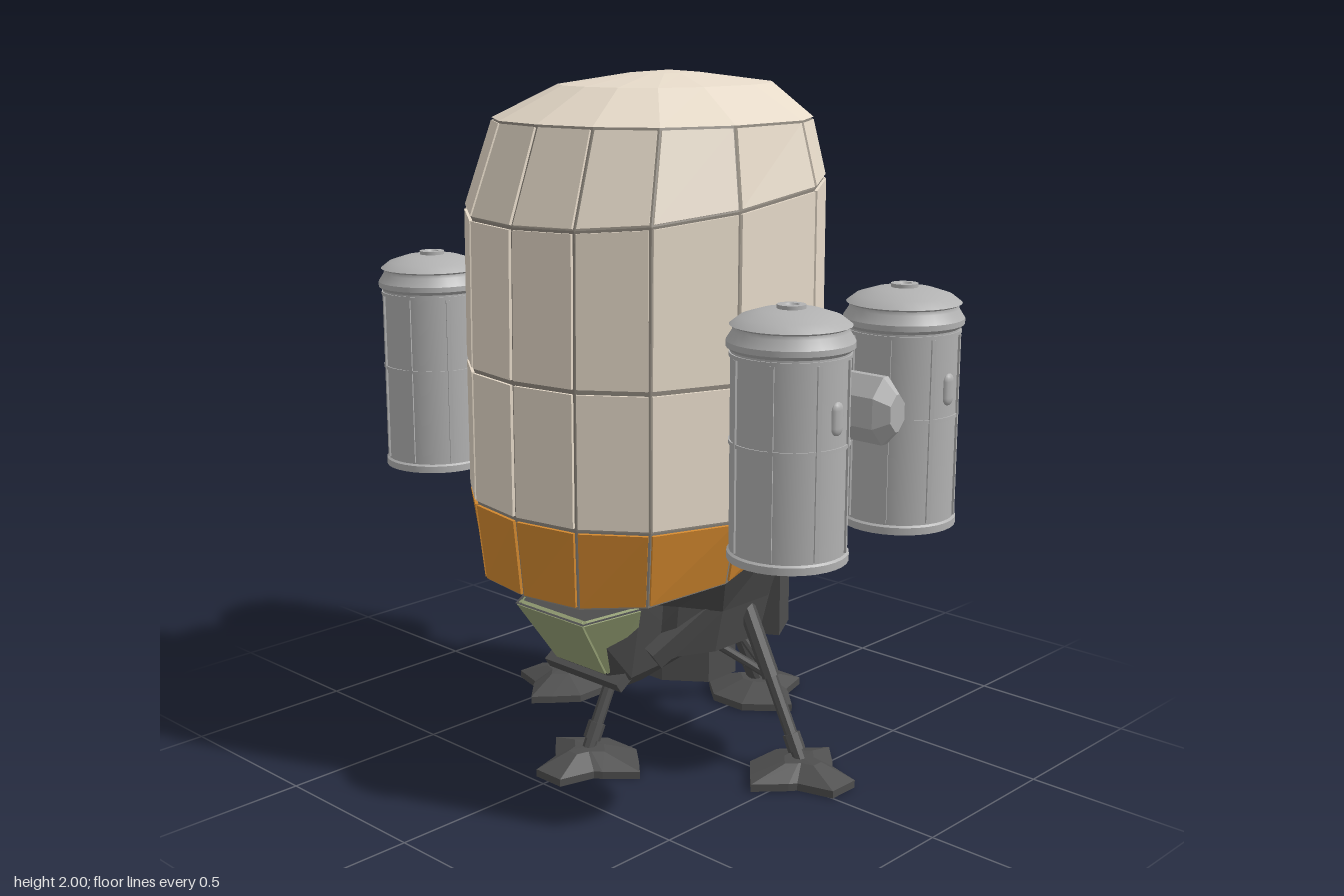
import * as THREE from 'three';
import { ConvexGeometry } from 'three/addons/geometries/ConvexGeometry.js';

const flat = (color) => new THREE.MeshStandardMaterial({ color, flatShading: true, side: THREE.DoubleSide });
const cream = flat(0xe6dac9), seam = flat(0x8f887e), orange = flat(0xd4892f);
const dark = flat(0x4e4e4e), darker = flat(0x3c3c3c), glass = flat(0x97a276);
const tankGrey = new THREE.MeshStandardMaterial({ color: 0xb2b2b2, side: THREE.DoubleSide });
const armGrey = flat(0xb2b2b2);
const V = (x, y, z) => new THREE.Vector3(x, y, z);

function add(parent, name, geo, mat, x = 0, y = 0, z = 0) {
  const m = new THREE.Mesh(geo, mat);
  m.name = name;
  m.position.set(x, y, z);
  parent.add(m);
  return m;
}
const box = (p, name, w, h, d, x, y, z, mat = dark) => add(p, name, new THREE.BoxGeometry(w, h, d), mat, x, y, z);

// Cylinder between two points
function rod(parent, name, a, b, r, mat = dark, sides = 8) {
  const m = add(parent, name, new THREE.CylinderGeometry(r, r, a.distanceTo(b), sides), mat);
  m.position.copy(a).lerp(b, 0.5);
  m.quaternion.setFromUnitVectors(V(0, 1, 0), b.clone().sub(a).normalize());
  return m;
}

function fromTriangles(points) {
  const g = new THREE.BufferGeometry().setFromPoints(points);
  g.computeVertexNormals();
  return g;
}

// Skin closed rings of equal length, with optional fans at the ends
function loft(rings, capStart, capEnd) {
  const t = [], n = rings[0].length;
  for (let k = 0; k + 1 < rings.length; k++) for (let i = 0; i < n; i++) {
    const j = (i + 1) % n, [a, b, c, d] = [rings[k][i], rings[k][j], rings[k + 1][j], rings[k + 1][i]];
    t.push(a, b, c, a, c, d);
  }
  const last = rings[rings.length - 1];
  for (let i = 0; i < n; i++) {
    const j = (i + 1) % n;
    if (capStart) t.push(rings[0][j], rings[0][i], capStart);
    if (capEnd) t.push(last[i], last[j], capEnd);
  }
  return fromTriangles(t);
}

// Raised plate with a narrow gap all round
function plate(parent, name, q, mat, gap = 0.007, depth = 0.012) {
  const normal = q[2].clone().sub(q[0]).cross(q[3].clone().sub(q[1])).normalize();
  const top = q.map((p, i) => {
    const r = p.clone();
    for (const o of [q[(i + 1) % 4], q[(i + 3) % 4]]) {
      const e = o.clone().sub(p), len = e.length();
      if (len > 0.02) r.addScaledVector(e, gap / len);
    }
    return r;
  });
  const low = top.map((p) => p.clone().addScaledVector(normal, -depth));
  const t = [top[0], top[1], top[2], top[0], top[2], top[3]];
  for (let i = 0; i < 4; i++) {
    const j = (i + 1) % 4;
    t.push(low[i], low[j], top[j], low[i], top[j], top[i]);
  }
  add(parent, name, fromTriangles(t), mat);
}

// Full ring of 14 points mirrored from the eight of the left half
function ring(fn) {
  return Array.from({ length: 14 }, (_, i) => {
    const [x, y, z] = fn(i <= 7 ? i : 14 - i);
    return V(i <= 7 ? x : -x, y, z);
  });
}

const plan = [[0, 0.59], [0.205, 0.555], [0.37, 0.435], [0.46, 0.19], [0.448, -0.14], [0.35, -0.305], [0.2, -0.42], [0, -0.45]];
const bandLow = [[0, 0.58, 0.565], [0.19, 0.58, 0.535], [0.34, 0.59, 0.415], [0.415, 0.62, 0.18],
  [0.395, 0.7, -0.13], [0.31, 0.84, -0.275], [0.18, 1.0, -0.37], [0, 1.0, -0.39]];
const bandHigh = [0.81, 0.81, 0.81, 0.81, 0.82, 0.98, 1.25, 1.25];

function buildCabin(root) {
  const g = new THREE.Group();
  g.name = 'cabin';
  root.add(g);
  const rings = [
    ring((i) => bandLow[i]),
    ring((i) => [plan[i][0], bandHigh[i], plan[i][1]]),
    ring((i) => [plan[i][0], Math.max(1.19, bandHigh[i]), plan[i][1]]),
    ring((i) => [plan[i][0], 1.672 - 0.11 * plan[i][1], plan[i][1] * 0.99]),
    ring((i) => [plan[i][0] * 0.89, 1.87, plan[i][1] * (plan[i][1] > 0 ? 0.82 : 0.94)]),
  ];
  // Core showing through the gaps
  add(g, 'cabinCore', loft(rings.map((r) => r.map((p) => V(p.x * 0.983, p.y, (p.z - 0.07) * 0.983 + 0.07)))), seam);
  for (let k = 0; k < 4; k++) for (let i = 0; i < 14; i++) {
    const j = (i + 1) % 14, q = [rings[k][i], rings[k][j], rings[k + 1][j], rings[k + 1][i]];
    if (q[0].distanceTo(q[3]) + q[1].distanceTo(q[2]) < 0.02) continue;
    plate(g, k ? 'wallPanel' : 'lowerBandPanel', q, k ? cream : orange);
  }
  // Faceted roof
  const mid = ring((i) => [plan[i][0] * 0.53, 1.962, plan[i][1] > 0 ? plan[i][1] * 0.52 : plan[i][1] * 0.82]);
  const crown = ring((i) => [plan[i][0] * 0.18, 1.993, plan[i][1] * 0.2 - 0.02]);
  add(g, 'roof', loft([rings[4], mid, crown], null, V(0, 2, -0.02)), cream);
}

function buildUnderside(root) {
  const g = new THREE.Group();
  g.name = 'underside';
  root.add(g);
  const shoulder = [[0, 0.54, 0.28], [0.14, 0.54, 0.28], [0.25, 0.52, 0.2], [0.31, 0.49, 0.08],
    [0.31, 0.49, -0.12], [0.26, 0.54, -0.23], [0.14, 0.6, -0.27], [0, 0.6, -0.27]];
  const rings = [
    ring((i) => { const [x, y, z] = shoulder[i]; return [x * 0.9, 0.36, z * 0.95]; }),
    ring((i) => shoulder[i]),
    ring((i) => bandLow[i].map((v, k) => (k === 1 ? v + 0.01 : v * 0.98))),
  ];
  add(g, 'hull', loft(rings, V(0, 0.36, 0)), dark);

  // Cockpit nose and window panes
  const nose = [];
  for (const s of [-1, 1]) for (const [x, y, z] of [[0.2, 0.54, 0.3], [0.12, 0.49, 0.43], [0.1, 0.31, 0.335],
    [0.16, 0.31, 0.3], [0.12, 0.27, 0.3], [0.12, 0.27, 0.22], [0.24, 0.54, 0.12], [0.22, 0.36, 0.1]]) nose.push(V(s * x, y, z));
  add(g, 'cockpitNose', new ConvexGeometry(nose), dark);
  const sill = [V(-0.14, 0.35, 0.265), V(-0.105, 0.315, 0.345), V(0.105, 0.315, 0.345), V(0.14, 0.35, 0.265)];
  const brow = [V(-0.215, 0.53, 0.31), V(-0.14, 0.505, 0.47), V(0.14, 0.505, 0.47), V(0.215, 0.53, 0.31)];
  for (let i = 0; i < 3; i++) plate(g, 'window', [sill[i], sill[i + 1], brow[i + 1], brow[i]], glass, 0.004, 0.02);
  add(g, 'browPlate', fromTriangles([brow[0], brow[1], brow[2], brow[0], brow[2], brow[3]]), dark);
  const lip = box(g, 'chinLip', 0.3, 0.035, 0.05, 0, 0.3, 0.32);
  lip.rotation.x = 0.6;

  for (const s of [-1, 1]) {
    rod(g, 'sideBeam', V(s * 0.36, 0.67, -0.12), V(s * 0.19, 0.37, 0.25), 0.045, dark, 4);
    const pod = box(g, 'sidePod', 0.1, 0.24, 0.14, s * 0.25, 0.48, -0.19);
    pod.rotation.y = s * 0.5;
    box(g, 'shoulderBox', 0.1, 0.14, 0.16, s * 0.2, 0.71, -0.27);
    box(g, 'shoulderBoxCover', 0.065, 0.1, 0.015, s * 0.2, 0.71, -0.354, darker);
  }
  box(g, 'rearBlock', 0.26, 0.15, 0.16, 0, 0.71, -0.28);
  box(g, 'rearBlockCover', 0.2, 0.1, 0.015, 0, 0.71, -0.363, darker);

  // Rear equipment pack with two framed hatches
  box(g, 'rearPack', 0.3, 0.32, 0.14, 0, 0.97, -0.39);
  box(g, 'rearPackTop', 0.24, 0.03, 0.1, 0, 1.135, -0.39);
  for (const s of [-1, 1]) {
    box(g, 'packDoor', 0.115, 0.25, 0.02, s * 0.07, 0.97, -0.465);
    box(g, 'packDoorWindow', 0.07, 0.08, 0.01, s * 0.07, 1.03, -0.476, darker);
    box(g, 'packDoorHandle', 0.07, 0.05, 0.01, s * 0.07, 0.91, -0.476, darker);
  }
  // Tilted lower hatch
  const hatch = new THREE.Group();
  hatch.name = 'lowerHatch';
  hatch.position.set(0, 0.505, -0.28);
  hatch.rotation.x = -0.2;
  g.add(hatch);
  box(hatch, 'hatchFrame', 0.17, 0.17, 0.08, 0, 0, 0);
  const port = add(hatch, 'hatchPort', new THREE.CylinderGeometry(0.055, 0.065, 0.02, 8), darker, 0, 0, -0.045);
  port.rotation.x = -Math.PI / 2;

  // Engine block
  const engine = add(g, 'engine', new THREE.CylinderGeometry(0.205, 0.205, 0.17, 8).rotateY(Math.PI / 8), dark, 0, 0.305, -0.055);
  engine.scale.z = 0.76;
  const nozzle = add(g, 'engineNozzle', new THREE.CylinderGeometry(0.07, 0.12, 0.03, 8), darker, 0, 0.222, -0.055);
  nozzle.scale.z = 0.8;
}

// Leg built pointing along +x, then turned about the hull axis
function buildLeg(root, angle, reach) {
  const g = new THREE.Group();
  g.name = 'landingLeg';
  g.position.z = -0.05;
  g.rotation.y = angle;
  root.add(g);
  const half = [[0.15, 0.05], [0.045, 0.08], [0.03, 0.1], [-0.045, 0.178], [-0.09, 0.13], [-0.15, 0.06]];
  const outline = [...half.map(([u, v]) => [u, v]), ...half.map(([u, v]) => [u, -v]).reverse()];
  const level = (y, k) => outline.map(([u, v]) => V(reach + u * k, y, -v * k));
  add(g, 'foot', loft([level(0, 1), level(0.022, 1), level(0.058, 0.35)].map((r) => r.reverse()).map((r) => r.reverse()),
    V(reach, 0, 0), V(reach, 0.06, 0)), dark);
  const ankle = V(reach - 0.01, 0.05, 0), hip = V(reach - 0.24, 0.5, 0);
  const knee = ankle.clone().lerp(hip, 0.5);
  rod(g, 'lowerLeg', ankle, knee, 0.019);
  rod(g, 'legSleeve', ankle.clone().lerp(hip, 0.06), ankle.clone().lerp(hip, 0.16), 0.026);
  rod(g, 'upperLeg', knee, hip, 0.026);
  for (const s of [-1, 1]) rod(g, 'legBrace', knee, V(Math.min(0.17, reach - 0.25), 0.37, s * 0.07), 0.013);
  box(g, 'hipMount', 0.08, 0.1, 0.07, hip.x - 0.02, 0.46, 0);
}

function buildTank(root, x, z) {
  const g = new THREE.Group();
  g.name = 'tank';
  g.position.set(x, 0, z);
  root.add(g);
  // Stacked profiles keep the edges between them sharp
  const profiles = [
    [[0, 0.815], [0.05, 0.815]], [[0.05, 0.815], [0.055, 0.795], [0.075, 0.795], [0.08, 0.815]],
    [[0.08, 0.815], [0.13, 0.815], [0.14, 0.79]], [[0.14, 0.79], [0.158, 0.79]], [[0.158, 0.79], [0.158, 0.81]],
    [[0.158, 0.81], [0.152, 0.815]], [[0.152, 0.815], [0.152, 1.335]], [[0.152, 1.335], [0.164, 1.345]],
    [[0.164, 1.345], [0.164, 1.36]], [[0.164, 1.36], [0.148, 1.385], [0.147, 1.395]], [[0.147, 1.395], [0.156, 1.4]],
    [[0.156, 1.4], [0.13, 1.42], [0.08, 1.436], [0.037, 1.44]], [[0.037, 1.44], [0.037, 1.45]],
    [[0.037, 1.45], [0.02, 1.45]], [[0.02, 1.45], [0.015, 1.44], [0, 1.44]],
  ];
  for (const p of profiles) add(g, 'tankShell', new THREE.LatheGeometry(p.map(([r, y]) => new THREE.Vector2(r, y)), 32), tankGrey);
  for (const y of [1.1, 1.325]) add(g, 'tankBand', new THREE.CylinderGeometry(0.156, 0.156, 0.01, 32), tankGrey, 0, y, 0);
  for (let i = 0; i < 8; i++) {
    const a = (i + 0.5) * Math.PI / 4;
    const rib = box(g, 'tankRib', 0.008, 0.5, 0.012, Math.sin(a) * 0.153, 1.07, Math.cos(a) * 0.153, tankGrey);
    rib.rotation.y = a + Math.PI / 2;
  }
  const s = Math.sign(x);
  const grip = add(g, 'tankGrip', new THREE.CapsuleGeometry(0.021, 0.045, 4, 10), tankGrey, s * 0.152, 1.18, 0);
  grip.scale.x = 0.5;
}

// Octagonal arm section, tall and narrow
function armRing(x, k) {
  return [[0.2, 1], [-0.2, 1], [-1, 0.45], [-1, -0.45], [-0.2, -1], [0.2, -1], [1, -0.45], [1, 0.45]]
    .map(([z, y]) => V(x, 1.155 + y * 0.09 * k, 0.04 + z * 0.055 * k));
}

export function createModel() {
  const root = new THREE.Group();
  root.name = 'lander';
  buildCabin(root);
  buildUnderside(root);
  buildLeg(root, 0, 0.51);
  buildLeg(root, Math.PI, 0.51);
  buildLeg(root, -Math.PI / 2, 0.38);
  buildLeg(root, Math.PI / 2, 0.395);
  for (const s of [-1, 1]) {
    const rings = [[0.42, 1], [0.52, 1], [0.525, 0.7], [0.545, 0.7], [0.55, 1], [0.83, 1], [0.87, 0.55]].map(([x, k]) => armRing(s * x, k));
    add(root, 'tankArm', loft(rings, V(s * 0.42, 1.155, 0.04), V(s * 0.87, 1.155, 0.04)), armGrey);
    box(root, 'tankClamp', 0.07, 0.1, 0.2, s * 0.71, 1.155, 0.04, armGrey);
    for (const z of [-0.195, 0.28]) buildTank(root, s * 0.71, z);
  }
  return root;
}
